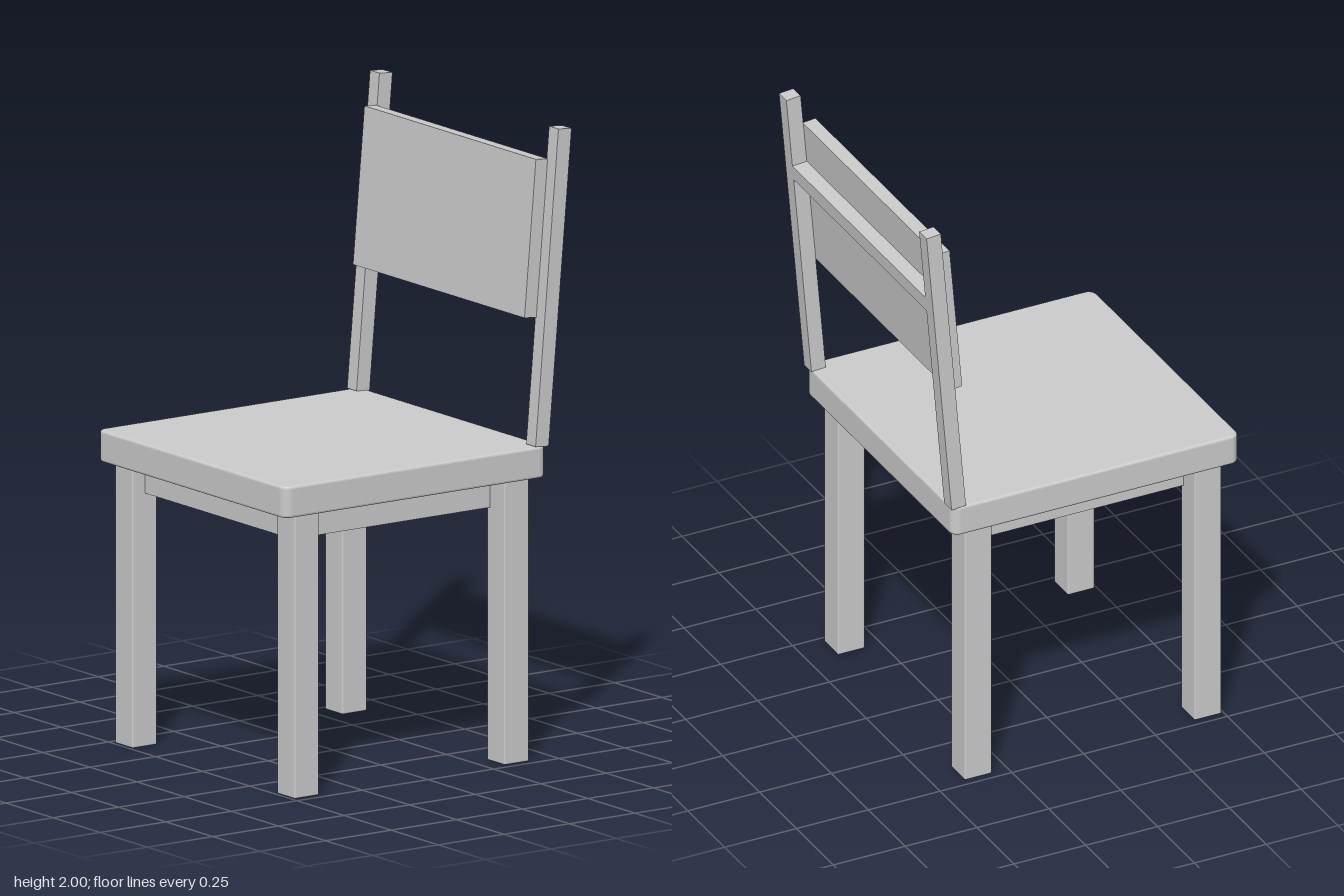
import * as THREE from 'three';
import { RoundedBoxGeometry } from 'three/addons/geometries/RoundedBoxGeometry.js';

const material = new THREE.MeshStandardMaterial({ color: 0xcccccc });

function addMesh(parent, name, geometry, x, y, z) {
  const mesh = new THREE.Mesh(geometry, material);
  mesh.name = name;
  mesh.position.set(x, y, z);
  parent.add(mesh);
  return mesh;
}

// Square slab with rounded corners and softened edges, lying flat on y = 0
function slabGeometry(size, height, radius, bevel) {
  const h = size / 2 - bevel;
  const r = radius - bevel;
  const shape = new THREE.Shape();
  shape.moveTo(h, -h + r);
  shape.absarc(h - r, h - r, r, 0, Math.PI / 2);
  shape.absarc(-h + r, h - r, r, Math.PI / 2, Math.PI);
  shape.absarc(-h + r, -h + r, r, Math.PI, Math.PI * 1.5);
  shape.absarc(h - r, -h + r, r, Math.PI * 1.5, Math.PI * 2);
  const geometry = new THREE.ExtrudeGeometry(shape, {
    depth: height - 2 * bevel,
    bevelSize: bevel,
    bevelThickness: bevel,
    bevelSegments: 3,
    curveSegments: 6,
  });
  return geometry.translate(0, 0, bevel).rotateX(-Math.PI / 2);
}

export function createModel() {
  const chair = new THREE.Group();
  chair.name = 'chair';
  const seatZ = 0.045;

  // Seat and the solid frame block under it
  addMesh(chair, 'seat', slabGeometry(1, 0.1, 0.03, 0.008), 0, 0.9, seatZ);
  addMesh(chair, 'seatFrame', new THREE.BoxGeometry(0.8, 0.1, 0.8), 0, 0.855, seatZ);

  // Four square legs
  const leg = new RoundedBoxGeometry(0.094, 0.91, 0.094, 2, 0.005);
  for (const [side, sx] of [['Left', 1], ['Right', -1]]) {
    for (const [end, sz] of [['front', 1], ['back', -1]]) {
      addMesh(chair, `${end}${side}Leg`, leg, sx * 0.43, 0.455, seatZ + sz * 0.4);
    }
  }

  // Backrest, built upright and tilted back about the rear of the seat
  const back = new THREE.Group();
  back.name = 'backrest';
  back.position.set(0, 1, -0.435);
  back.rotation.x = -THREE.MathUtils.degToRad(5);
  chair.add(back);

  const post = new THREE.BoxGeometry(0.05, 1.002, 0.05);
  addMesh(back, 'leftPost', post, 0.475, 0.501, 0);
  addMesh(back, 'rightPost', post, -0.475, 0.501, 0);
  addMesh(back, 'backPanel', new THREE.BoxGeometry(0.91, 0.5, 0.045), 0, 0.65, 0.0475);
  addMesh(back, 'crossRail', new THREE.BoxGeometry(0.91, 0.05, 0.05), 0, 0.735, 0);

  return chair;
}
